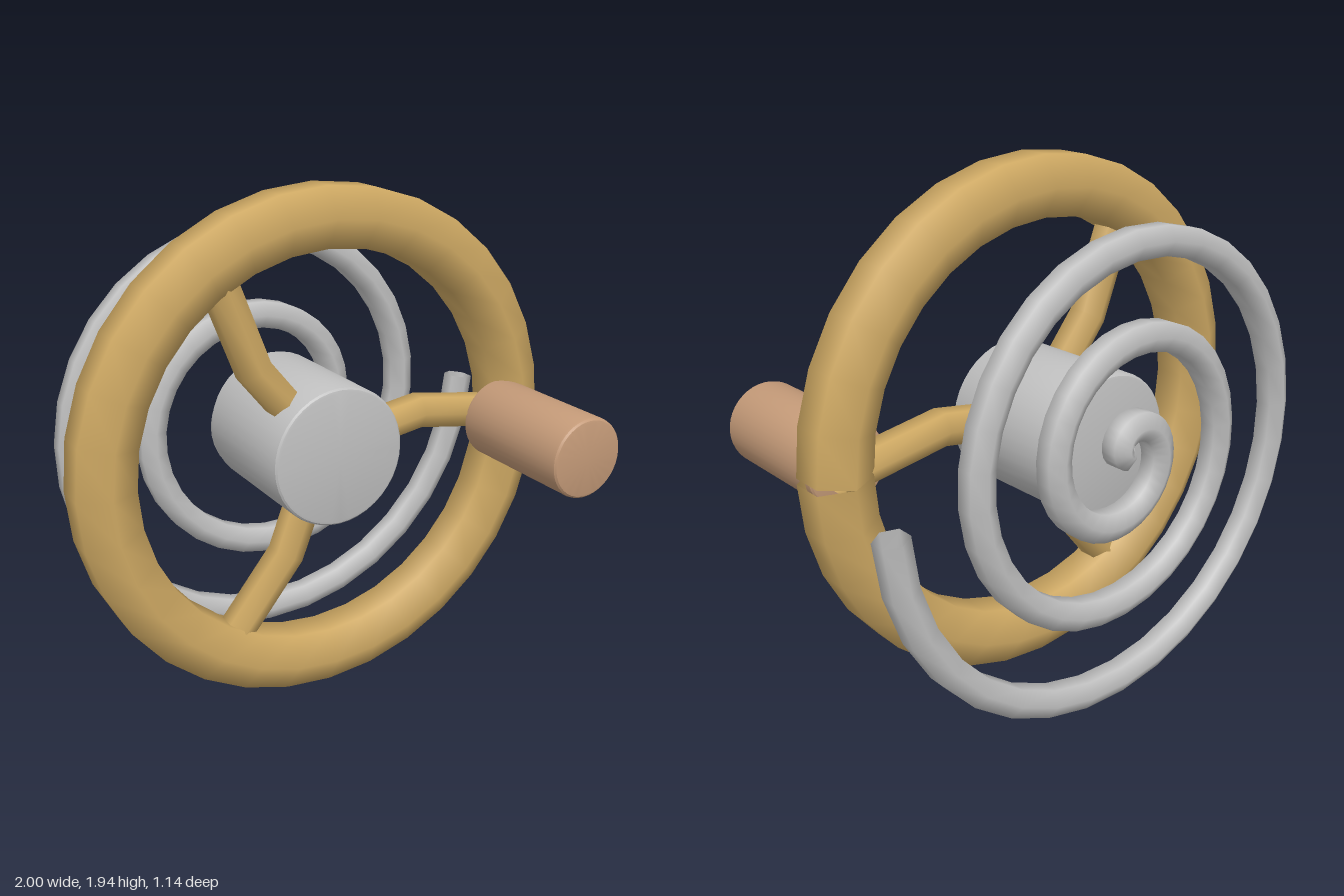
import * as THREE from 'three';
import { toCreasedNormals } from 'three/addons/utils/BufferGeometryUtils.js';

// Open hexagonal tube swept along a path in the xy plane
function sweep(points, radius, sides = 6) {
  const pos = [], index = [];
  const last = points.length - 1;
  points.forEach((p, i) => {
    const a = points[Math.max(i - 1, 0)], b = points[Math.min(i + 1, last)];
    const before = p.clone().sub(a).normalize(), after = b.clone().sub(p).normalize();
    const t = before.add(after).normalize();
    for (let k = 0; k < sides; k++) {
      const ang = Math.PI / 2 + (k / sides) * Math.PI * 2;
      const c = Math.cos(ang) * radius;
      pos.push(p.x - t.y * c, p.y + t.x * c, Math.sin(ang) * radius);
      if (i < last) {
        const k2 = (k + 1) % sides, r0 = i * sides, r1 = r0 + sides;
        index.push(r0 + k, r0 + k2, r1 + k, r0 + k2, r1 + k2, r1 + k);
      }
    }
  });
  const g = new THREE.BufferGeometry();
  g.setAttribute('position', new THREE.Float32BufferAttribute(pos, 3));
  g.setIndex(index);
  g.computeVertexNormals();
  return g;
}

// Cylinder along z with rounded edges, from z0 to z1
function roundedCylinder(radius, z0, z1, bevel) {
  const profile = [new THREE.Vector2(0, z0)];
  for (const end of [0, 1]) {
    for (let i = 0; i <= 3; i++) {
      const a = -Math.PI / 2 + (end * 3 + i) * Math.PI / 6;
      const zc = end ? z1 - bevel : z0 + bevel;
      profile.push(new THREE.Vector2(radius - bevel + Math.cos(a) * bevel, zc + Math.sin(a) * bevel));
    }
  }
  profile.push(new THREE.Vector2(0, z1));
  return toCreasedNormals(new THREE.LatheGeometry(profile, 40).rotateX(Math.PI / 2), 0.4);
}

export function createModel() {
  const brass = new THREE.MeshStandardMaterial({ color: 0xcca762, side: THREE.DoubleSide });
  brass.name = 'brass';
  const steel = new THREE.MeshStandardMaterial({ color: 0xc0c0c0, side: THREE.DoubleSide });
  steel.name = 'steel';
  const copper = new THREE.MeshStandardMaterial({ color: 0xc49a78 });
  copper.name = 'copper';

  const model = new THREE.Group();
  model.name = 'crankWheel';
  model.position.set(-0.028, 0.975, 0);
  const add = (name, geometry, material, z = 0) => {
    const mesh = new THREE.Mesh(geometry, material);
    mesh.name = name;
    mesh.position.z = z;
    model.add(mesh);
    return mesh;
  };
  const polar = (r, a) => new THREE.Vector2(r * Math.cos(a), r * Math.sin(a));
  const wheelZ = -0.036;

  // Rim, with a fine seam on the handle side
  const rimPath = Array.from({ length: 33 }, (_, i) => polar(0.862, (i / 32) * Math.PI * 2));
  add('rim', sweep(rimPath, 0.126), brass, wheelZ);

  // Three bent spokes
  const spokePath = [[0, 0], [0.43, 0.068], [0.86, 0]].map(([x, y]) => new THREE.Vector2(x, y));
  const spoke = sweep(spokePath, 0.07);
  for (let i = 0; i < 3; i++) {
    add('spoke' + (i + 1), spoke, brass, wheelZ).rotation.z = (i * Math.PI * 2) / 3;
  }

  // Hub and crank handle
  add('hub', roundedCylinder(0.268, -0.442, 0.108, 0.018), steel);
  const handle = add('handle', roundedCylinder(0.156, 0.02, 0.57, 0.018), copper);
  handle.position.x = 0.773;

  // Flat spiral spring of three turns behind the hub
  const steps = 96;
  const spiralPath = Array.from({ length: steps + 1 }, (_, i) =>
    polar(0.975 * i / steps, (i / steps) * Math.PI * 6));
  add('spiralSpring', sweep(spiralPath, 0.06), steel, -0.512);

  const root = new THREE.Group();
  root.name = 'model';
  root.add(model);
  return root;
}
